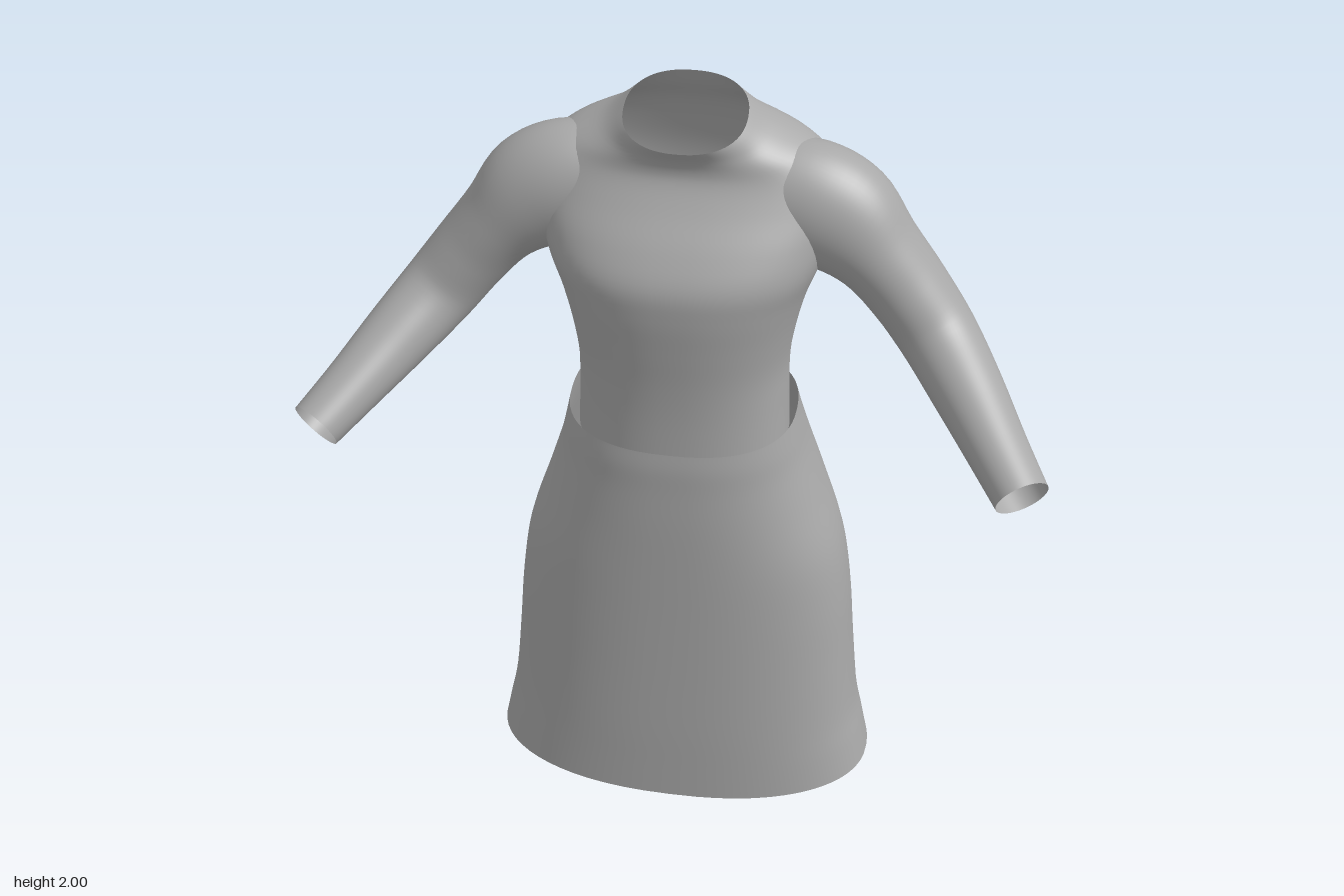
import * as THREE from 'three';

const SEGMENTS = 64, STEPS = 5;

// Smoothly interpolates a list of section rows (uniform Catmull-Rom on every column)
function smoothRows(rows) {
  const out = [];
  const at = i => rows[Math.min(Math.max(i, 0), rows.length - 1)];
  for (let i = 0; i < rows.length - 1; i++) {
    for (let s = 0; s < STEPS; s++) {
      const t = s / STEPS;
      out.push(at(i).map((b, k) => {
        const a = at(i - 1)[k], c = at(i + 1)[k], d = at(i + 2)[k];
        return b + 0.5 * t * (c - a + t * (2 * a - 5 * b + 4 * c - d + t * (3 * (b - c) + d - a)));
      }));
    }
  }
  out.push(rows[rows.length - 1]);
  return out;
}

// Joins rings of points into an open tube; point(ring, angle) returns a Vector3
function loft(ringCount, point) {
  const pos = [], index = [];
  for (let i = 0; i < ringCount; i++) {
    for (let j = 0; j < SEGMENTS; j++) {
      pos.push(...point(i, j / SEGMENTS * Math.PI * 2).toArray());
      if (i === ringCount - 1) continue;
      const k = (j + 1) % SEGMENTS;
      const a = i * SEGMENTS + j, b = i * SEGMENTS + k;
      index.push(a, a + SEGMENTS, b, b, a + SEGMENTS, b + SEGMENTS);
    }
  }
  const geo = new THREE.BufferGeometry();
  geo.setAttribute('position', new THREE.Float32BufferAttribute(pos, 3));
  geo.setIndex(index);
  geo.computeVertexNormals();
  return geo;
}

const power = (v, p) => Math.sign(v) * Math.pow(Math.abs(v), p);

// Rows: height, half width, front z, back z, rise towards the back, rise at the sides
function bodyLoft(rows, exponent) {
  const rings = smoothRows(rows);
  return loft(rings.length, (i, angle) => {
    const [y, w, front, back, tilt, lift] = rings[i];
    const cx = power(Math.cos(angle), 2 / exponent);
    const cz = power(Math.sin(angle), 2 / exponent);
    return new THREE.Vector3(
      w * cx,
      y - tilt * cz + lift * cx * cx,
      (front + back) / 2 + cz * (front - back) / 2);
  });
}

// Rows: centre x, y, z, radius upwards, radius in depth
function sleeveLoft(rows, side) {
  const rings = smoothRows(rows);
  const centres = rings.map(r => new THREE.Vector3(r[0], r[1], r[2]));
  const zAxis = new THREE.Vector3(0, 0, 1);
  return loft(rings.length, (i, angle) => {
    const tangent = centres[Math.min(i + 1, rings.length - 1)].clone()
      .sub(centres[Math.max(i - 1, 0)]).normalize();
    const up = zAxis.clone().cross(tangent).normalize();
    const depth = up.clone().cross(tangent);
    const p = centres[i].clone()
      .addScaledVector(up, Math.cos(angle) * rings[i][3])
      .addScaledVector(depth, Math.sin(angle * side) * rings[i][4]);
    p.x *= side;
    return p;
  });
}

export function createModel() {
  const model = new THREE.Group();
  model.name = 'dress';
  const cloth = new THREE.MeshStandardMaterial({ color: 0xa8a8a8, side: THREE.DoubleSide });
  cloth.name = 'grey cloth';
  const add = (name, geometry) => {
    const mesh = new THREE.Mesh(geometry, cloth);
    mesh.name = name;
    model.add(mesh);
  };

  // Fitted bodice, from the waist up over the shoulders to the raised collar
  add('bodice', bodyLoft([
    [1.08, 0.268, 0.165, -0.225, 0, 0],
    [1.20, 0.265, 0.165, -0.233, 0, 0],
    [1.30, 0.265, 0.170, -0.240, 0, 0],
    [1.40, 0.280, 0.180, -0.250, 0, 0],
    [1.50, 0.305, 0.189, -0.262, 0, 0],
    [1.58, 0.335, 0.185, -0.272, 0, 0],
    [1.66, 0.360, 0.145, -0.280, 0, 0],
    [1.74, 0.375, 0.090, -0.275, 0, 0],
    [1.81, 0.360, 0.055, -0.255, 0.01, 0],
    [1.865, 0.300, 0.048, -0.228, 0.03, 0],
    [1.91, 0.205, 0.058, -0.190, 0.042, 0],
    [1.95, 0.150, 0.080, -0.165, 0.05, 0],
  ], 2.3));

  // Flared skirt with a waist that rises at the back
  add('skirt', bodyLoft([
    [0.003, 0.508, 0.205, -0.325, 0, 0.03],
    [0.10, 0.490, 0.205, -0.326, 0, 0.02],
    [0.22, 0.470, 0.205, -0.328, 0, 0],
    [0.40, 0.453, 0.203, -0.334, 0, 0],
    [0.58, 0.438, 0.202, -0.339, 0, 0],
    [0.74, 0.412, 0.202, -0.336, 0, 0],
    [0.90, 0.360, 0.202, -0.328, 0.01, 0],
    [1.02, 0.322, 0.200, -0.300, 0.02, 0],
    [1.10, 0.302, 0.199, -0.264, 0.03, 0],
    [1.155, 0.290, 0.194, -0.240, 0.035, 0],
  ], 2.4));

  // Long sleeves, bent forward at the elbow and open at the cuff
  const sleeve = [
    [0.20, 1.725, -0.085, 0.150, 0.120],
    [0.30, 1.715, -0.085, 0.158, 0.132],
    [0.385, 1.675, -0.083, 0.148, 0.130],
    [0.47, 1.595, -0.080, 0.112, 0.120],
    [0.55, 1.500, -0.072, 0.102, 0.112],
    [0.63, 1.400, -0.040, 0.098, 0.102],
    [0.715, 1.315, 0.060, 0.089, 0.093],
    [0.80, 1.235, 0.180, 0.076, 0.082],
    [0.875, 1.168, 0.287, 0.067, 0.074],
  ];
  add('leftSleeve', sleeveLoft(sleeve, 1));
  add('rightSleeve', sleeveLoft(sleeve, -1));

  return model;
}
